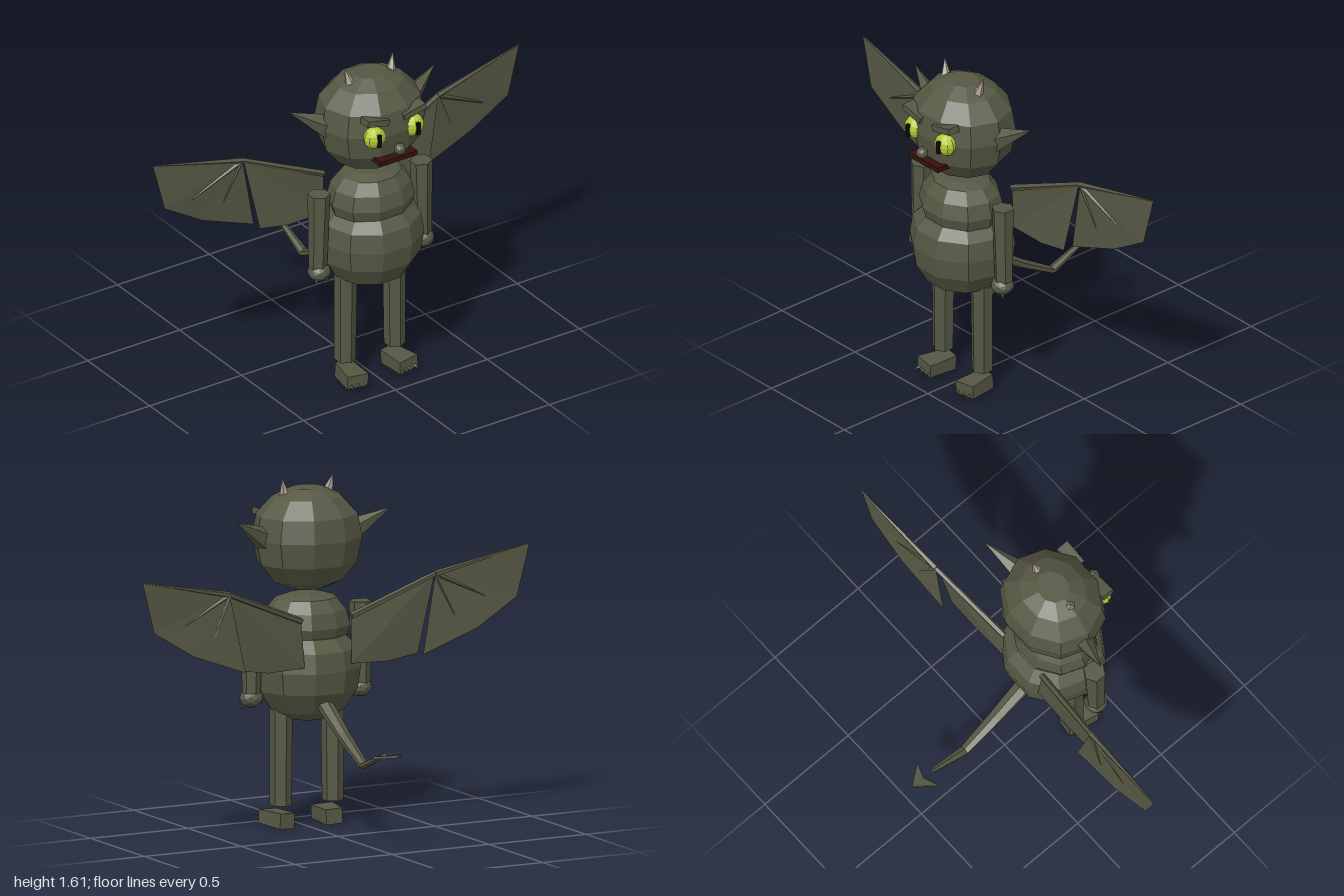
import * as THREE from 'three';

const mat = (name, color, side = THREE.FrontSide) =>
  Object.assign(new THREE.MeshStandardMaterial({ color, flatShading: true, side }), { name });

export function createModel() {
  const model = new THREE.Group();
  const skin = mat('olive skin', 0x565844, THREE.DoubleSide);
  const horn = mat('horn beige', 0xaaa08e);
  const eyeGreen = mat('eye green', 0xb4cc36);
  const black = mat('pupil black', 0x0c0c0a);
  const red = mat('mouth red', 0x35100c);
  const white = mat('tooth white', 0xd8d2c4);
  const V = (x, y, z) => new THREE.Vector3(x, y, z);

  const add = (name, geo, material, x = 0, y = 0, z = 0) => {
    const m = new THREE.Mesh(geo, material);
    m.name = name;
    m.position.set(x, y, z);
    model.add(m);
    return m;
  };

  // Faceted round body from [radius, height] rings, squashed in z
  const blob = (name, rings, z, depth, sides = 10) => {
    const pts = [[0, rings[0][1]], ...rings, [0, rings[rings.length - 1][1]]];
    const g = new THREE.LatheGeometry(pts.map(p => new THREE.Vector2(...p)), sides, Math.PI / sides);
    g.scale(1, 1, depth);
    return add(name, g, skin, 0, 0, z);
  };

  // Tapered limb between two points
  const limb = (name, a, b, ra, rb, material = skin, sides = 6) => {
    const d = b.clone().sub(a);
    const m = add(name, new THREE.CylinderGeometry(rb, ra, d.length(), sides), material);
    m.position.copy(a).addScaledVector(d, 0.5);
    m.quaternion.setFromUnitVectors(V(0, 1, 0), d.normalize());
    return m;
  };

  // Thin flat panel as a fan from its first corner
  const panel = (name, pts) => {
    const g = new THREE.BufferGeometry().setFromPoints(pts);
    const idx = [];
    for (let i = 1; i < pts.length - 1; i++) idx.push(0, i, i + 1);
    g.setIndex(idx);
    g.computeVertexNormals();
    return add(name, g, skin);
  };

  // Head and torso
  blob('head', [[0.08, 1.1], [0.165, 1.135], [0.235, 1.22], [0.26, 1.335], [0.24, 1.44], [0.165, 1.52], [0.08, 1.56]], 0.29, 0.88);
  blob('chest', [[0.14, 0.82], [0.19, 0.87], [0.21, 0.93], [0.19, 1.0], [0.145, 1.055], [0.09, 1.072]], 0.3, 0.87);
  blob('belly', [[0.1, 0.505], [0.175, 0.545], [0.235, 0.64], [0.25, 0.74], [0.235, 0.83], [0.18, 0.885], [0.1, 0.9]], 0.293, 0.95);

  // Nose and mouth
  add('nose', new THREE.IcosahedronGeometry(0.028, 1), skin, 0, 1.27, 0.535);
  add('mouth', new THREE.BoxGeometry(0.2, 0.024, 0.08), red, 0, 1.215, 0.488);

  for (const s of [-1, 1]) {
    // Face
    const eye = add('eye', new THREE.SphereGeometry(0.054, 10, 8), eyeGreen, s * 0.105, 1.34, 0.485);
    eye.scale.z = 0.8;
    add('pupil', new THREE.BoxGeometry(0.017, 0.06, 0.03), black, s * 0.105, 1.338, 0.52);
    const brow = add('brow', new THREE.BoxGeometry(0.12, 0.03, 0.06), skin, s * 0.1, 1.42, 0.483);
    brow.rotation.z = s * 0.22;
    limb('tooth', V(s * 0.055, 1.21, 0.52), V(s * 0.055, 1.18, 0.522), 0.009, 0, white, 4);
    const ear = limb('ear', V(s * 0.2, 1.33, 0.285), V(s * 0.4, 1.442, 0.228), 0.065, 0, skin, 5);
    ear.scale.z = 0.85;
    limb('horn', V(s * 0.103, 1.5, 0.302), V(s * 0.132, 1.615, 0.283), 0.034, 0, horn, 5);

    // Arm, hand and claws
    limb('arm', V(s * 0.285, 0.64, 0.295), V(s * 0.278, 1.013, 0.295), 0.042, 0.052);
    const hand = add('hand', new THREE.IcosahedronGeometry(0.054, 1), skin, s * 0.282, 0.615, 0.3);
    hand.scale.y = 0.8;
    for (const k of [-1, 0, 1])
      limb('handClaw', V(s * 0.282 + k * 0.027, 0.59, 0.32), V(s * 0.282 + k * 0.034, 0.56, 0.328), 0.011, 0, skin, 4);

    // Leg
    limb('leg', V(s * 0.135, 0.112, 0.293), V(s * 0.132, 0.58, 0.293), 0.049, 0.053);

    // Wedge foot, narrow and low at the heel
    const fg = new THREE.BoxGeometry(0.105, 0.062, 0.15);
    const p = fg.attributes.position;
    for (let i = 0; i < p.count; i++) {
      if (p.getZ(i) < 0) p.setX(i, p.getX(i) * 0.75);
      if (p.getZ(i) < 0 && p.getY(i) < 0) p.setY(i, -0.04);
    }
    const foot = add('foot', fg, skin, s * 0.13, 0.046, 0.328);
    foot.rotation.set(0, s * 0.12, s * 0.06);
    for (const k of [-1, 0, 1])
      limb('toeClaw', V(s * 0.138 + k * 0.034, 0.03, 0.395), V(s * 0.14 + k * 0.038, 0.026, 0.432), 0.01, 0, skin, 4);

    // Wing: two membranes, arm bones and finger ribs
    const root = V(s * 0.13, 0.985, 0.11);
    const elbow = V(s * 0.53, 1.152, 0.052);
    const tip = V(s * 0.998, 1.255, 0.02);
    panel('innerWing', [V(s * 0.53, 1.148, 0.06), V(s * 0.458, 0.79, 0.085), V(s * 0.31, 0.765, 0.09), V(s * 0.12, 0.77, 0.095), root]);
    panel('outerWing', [elbow, tip, V(s * 0.935, 1.015, 0.024), V(s * 0.73, 0.89, 0.022), V(s * 0.458, 0.79, 0.035)]);
    limb('wingArm', root, elbow, 0.016, 0.013, skin, 5);
    limb('wingFinger', elbow, tip, 0.015, 0.003, skin, 5);
    limb('wingRib', elbow, V(s * 0.79, 1.025, 0.034), 0.012, 0.003, skin, 4);
    limb('wingRib', elbow, V(s * 0.62, 0.96, 0.034), 0.012, 0.003, skin, 4);
  }

  // Tail in tapering segments
  const tail = [[0.62, 0.17, 0.044], [0.475, -0.05, 0.034], [0.368, -0.24, 0.025], [0.45, -0.432, 0.013]];
  for (let i = 0; i < 3; i++) {
    const [y0, z0, r0] = tail[i], [y1, z1, r1] = tail[i + 1];
    const seg = limb('tail', V(0, y0, z0), V(0, y1, z1), r0, r1);
    seg.scale.z = 0.65;
  }

  // Barbed tail tip
  const barb = new THREE.Shape([[0, 0.1], [-0.075, 0], [0, 0.03], [0.075, 0]].map(q => new THREE.Vector2(...q)));
  const tg = new THREE.ExtrudeGeometry(barb, { depth: 0.012, bevelEnabled: false });
  tg.rotateX(-Math.PI / 2 + 0.16);
  add('tailTip', tg, skin, 0, 0.44, -0.46);

  return model;
}
